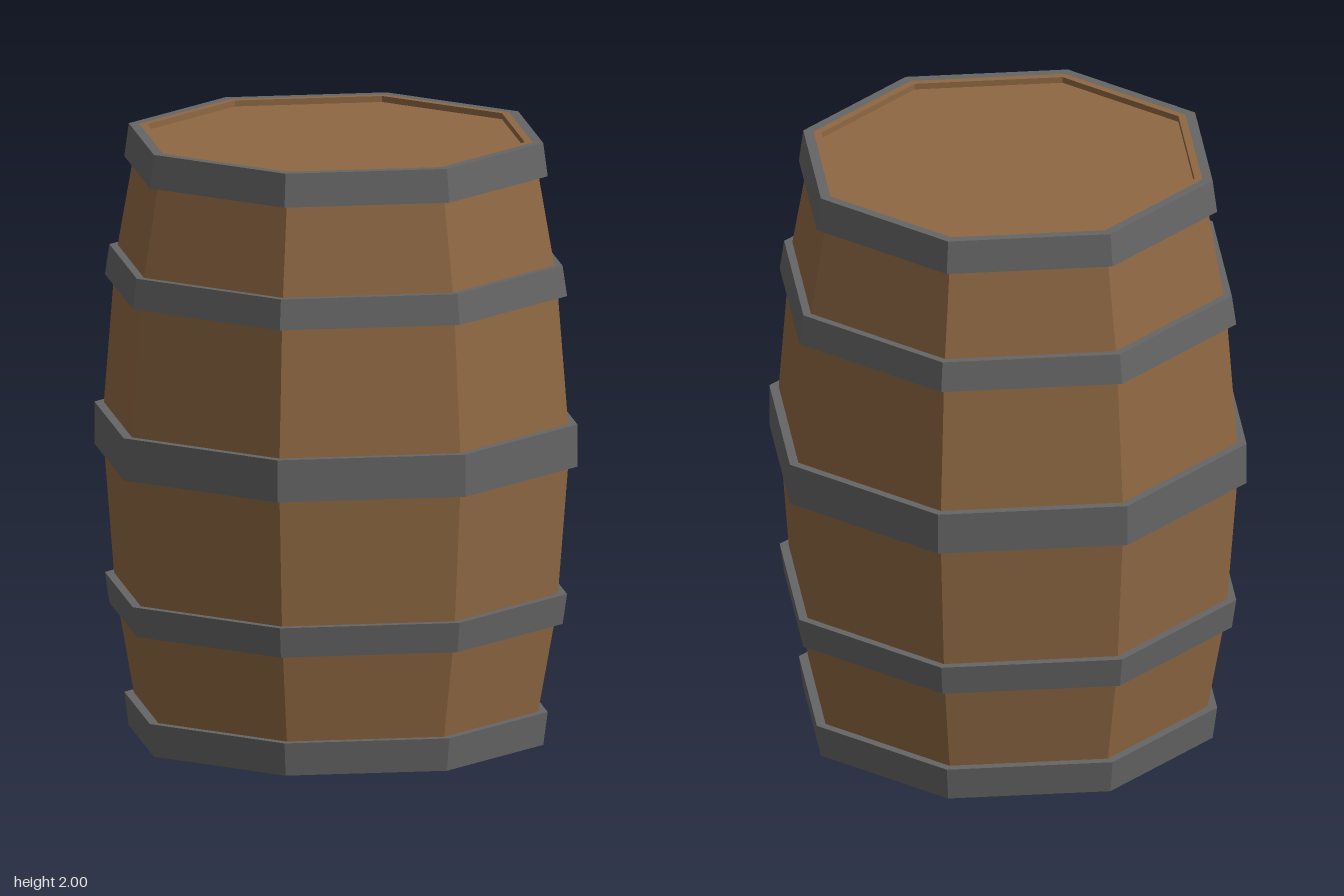
import * as THREE from 'three';

const SIDES = 8;

// Eight-sided solid of revolution with flat faces; profile runs up the outside as [radius, y]
function facetedLathe(name, profile, material) {
  const points = profile.map(([r, y]) => new THREE.Vector2(r, y));
  const geometry = new THREE.LatheGeometry(points, SIDES).toNonIndexed();
  geometry.computeVertexNormals();
  const mesh = new THREE.Mesh(geometry, material);
  mesh.name = name;
  return mesh;
}

export function createModel() {
  const wood = new THREE.MeshStandardMaterial({ color: 0x8f6843 });
  wood.name = 'wood';
  const iron = new THREE.MeshStandardMaterial({ color: 0x656565 });
  iron.name = 'iron';

  const barrel = new THREE.Group();
  barrel.name = 'barrel';

  // Bulging staves, with a flat bottom set inside the lowest hoop
  barrel.add(facetedLathe('staves', [
    [0, 0.03], [0.663, 0.03], [0.74, 0.45], [0.78, 0.95], [0.78, 1.05], [0.74, 1.55], [0.66, 2],
  ], wood));

  // Narrow rim and the slightly sunken lid
  barrel.add(facetedLathe('lid', [[0.66, 2], [0.633, 2], [0.633, 1.98], [0, 1.98]], wood));

  // Hoops: bottom y, top y, bottom radius, top radius, inner radius
  const hoops = [
    ['bottomHoop', 0, 0.11, 0.695, 0.71, 0.66],
    ['lowerHoop', 0.405, 0.505, 0.76, 0.775, 0.72],
    ['middleHoop', 0.93, 1.07, 0.81, 0.81, 0.75],
    ['upperHoop', 1.495, 1.595, 0.775, 0.76, 0.72],
    ['topHoop', 1.89, 2, 0.71, 0.695, 0.66],
  ];
  for (const [name, y0, y1, r0, r1, inner] of hoops) {
    barrel.add(facetedLathe(name, [[inner, y0], [r0, y0], [r1, y1], [inner, y1], [inner, y0]], iron));
  }
  return barrel;
}
